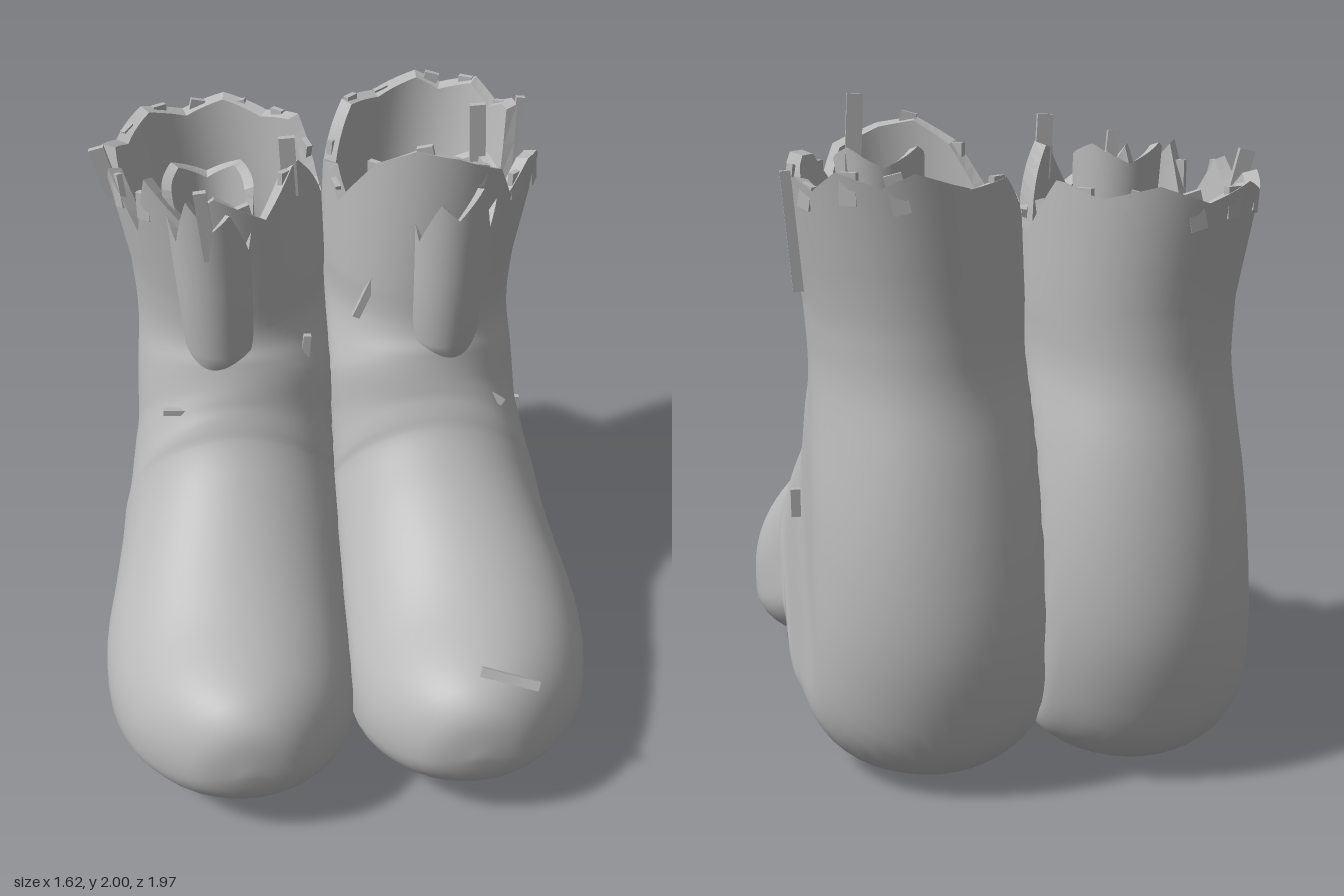
import * as THREE from 'three';

const N = 72, WALL = .042;
const grey = new THREE.MeshStandardMaterial({ color: 0xb8b8b8, side: THREE.DoubleSide });
grey.name = 'plain grey';

// Skin between closed rings of points; flat gives faceted edges
function loft(name, rows, flat = false, capped = false) {
  const n = rows[0].length, pos = [], idx = [];
  rows.forEach(r => r.forEach(p => pos.push(...p)));
  for (let i = 0; i < rows.length - 1; i++) for (let j = 0; j < n; j++) {
    const a = i * n + j, b = i * n + (j + 1) % n, c = a + n, d = b + n;
    idx.push(a, b, c, b, d, c);
  }
  if (capped) {
    const m = pos.length / 3;
    pos.push(...[0, 1, 2].map(q => rows[0].reduce((s, p) => s + p[q], 0) / n));
    for (let j = 0; j < n; j++) idx.push((j + 1) % n, j, m);
  }
  let g = new THREE.BufferGeometry();
  g.setAttribute('position', new THREE.Float32BufferAttribute(pos, 3));
  g.setIndex(idx);
  if (flat) g = g.toNonIndexed();
  g.computeVertexNormals();
  const mesh = new THREE.Mesh(g, grey);
  mesh.name = name;
  return mesh;
}

// Sections fanning from toe to ankle: top z, y, bottom z, y, centre x, half width
const SECTIONS = [
  [.985, .36, .985, .31, .36, .03], [.965, .48, .955, .2, .36, .15], [.9, .55, .86, .1, .365, .255],
  [.78, .59, .72, .04, .375, .35], [.6, .63, .52, .01, .39, .405], [.42, .715, .3, .015, .39, .42],
  [.28, .81, .1, .07, .37, .41], [.18, .9, -.1, .155, .35, .4], [.12, .97, -.2, .2, .345, .39],
  [.1, 1.01, -.24, .1, .34, .385], [.085, 1.04, -.3, .02, .335, .38], [.07, 1.07, -.5, 0, .325, .375],
  [.06, 1.1, -.75, .015, .315, .37], [.05, 1.13, -.89, .12, .305, .365], [.04, 1.16, -.955, .3, .3, .365],
  [.03, 1.19, -.98, .5, .3, .36], [.02, 1.22, -.955, .75, .305, .35], [0, 1.26, -.9, 1, .31, .335],
  [-.01, 1.32, -.84, 1.22, .32, .325], [-.01, 1.42, -.83, 1.42, .325, .33],
];
const TOPS = new THREE.CatmullRomCurve3(SECTIONS.map(q => new THREE.Vector3(q[4], q[1], q[0])));
const BOTTOMS = new THREE.CatmullRomCurve3(SECTIONS.map(q => new THREE.Vector3(q[5], q[3], q[2])));

// Torn rim heights by angle: 0 front, 90 outer side, 180 back, 270 inner side
const RIMS = {
  1: [[0, 1.9], [25, 1.84], [35, 1.74], [45, 1.83], [58, 1.83], [66, 1.72], [80, 1.47], [103, 1.51], [116, 1.82],
    [130, 1.77], [145, 1.83], [165, 1.79], [180, 1.83], [205, 1.78], [230, 1.8], [255, 1.66], [275, 1.72],
    [295, 1.65], [320, 1.85], [340, 1.92], [360, 1.9]],
  [-1]: [[0, 1.8], [20, 1.72], [35, 1.84], [50, 1.62], [65, 1.8], [80, 1.71], [95, 1.78], [115, 1.73], [140, 1.78],
    [165, 1.73], [190, 1.78], [215, 1.74], [240, 1.78], [262, 1.6], [280, 1.63], [300, 1.78], [312, 1.86],
    [335, 1.7], [360, 1.8]],
};
const FLUTE_RIM = [[0, 1.72], [30, 1.82], [55, 1.66], [90, 1.8], [130, 1.84], [180, 1.78], [230, 1.84],
  [275, 1.8], [305, 1.62], [335, 1.77], [360, 1.72]];

function heightAt(list, deg) {
  const k = Math.max(1, list.findIndex(p => p[0] >= deg));
  const [a, b] = [list[k - 1], list[k]];
  return a[1] + (b[1] - a[1]) * (deg - a[0]) / (b[0] - a[0]);
}
const ring = f => Array.from({ length: N }, (_, j) => f(j * 2 * Math.PI / N, j * 360 / N));
const { lerp, clamp } = THREE.MathUtils;
// Rounded edge: rises from 0 to 1 over radius r
const round = (d, r) => Math.sqrt(1 - (1 - Math.min(1, d / r)) ** 2);

// Point on a profile curve, moved inwards by the wall thickness
function profile(curve, u, inset) {
  const p = curve.getPoint(u), t = curve.getTangent(u), l = Math.hypot(t.y, t.z);
  p.z += inset * t.y / l;
  p.y -= inset * t.z / l;
  return p;
}

function shard(name, x, y, z, length, width, rx, rz) {
  const m = new THREE.Mesh(new THREE.BoxGeometry(width, length, .02), grey);
  m.name = name;
  m.position.set(x, y, z);
  m.rotation.set(rx, 0, rz);
  return m;
}

function boot(s) {
  const g = new THREE.Group();
  g.name = s > 0 ? 'leftBoot' : 'rightBoot';
  const rim = d => heightAt(RIMS[s], d);

  // Shaft flaring up to the torn rim
  const shaft = (a, y, inset) => {
    const t = (y - 1.42) / .43;
    const x = lerp(.325, .375, t) + (lerp(.33, .36, t) - inset) * Math.sin(a);
    const z = lerp(-.42, -.43, t) + (lerp(.41, .435, t) - inset) * Math.cos(a);
    return [s * Math.max(inset, x), y, z];
  };

  // Foot, heel, ankle and shaft: straight-sided sections with rounded ends
  const skin = inset => {
    const rows = [], steps = (SECTIONS.length - 1) * 3;
    for (let i = 0; i <= steps; i++) {
      const t = profile(TOPS, i / steps, -inset), b = profile(BOTTOMS, i / steps, inset);
      const length = Math.hypot(t.y - b.y, t.z - b.z), k = clamp((i - 30) / 15, 0, 1);
      const arch = .06 * Math.exp(-(((i - 27) / 5) ** 2));
      const topRadius = Math.min(lerp(.5, .415, k), lerp(.62, .5, k) * length);
      const bottomRadius = Math.min(lerp(.2, .42, k) - arch, lerp(.36, .5, k) * length);
      rows.push(ring(a => {
        const u = (1 - Math.cos(a)) / 2;
        const w = Math.max(.005, b.x - inset) * round(u * length, topRadius) * round((1 - u) * length, bottomRadius);
        const x = Math.max(inset, t.x + Math.sign(Math.sin(a)) * w);
        return [s * x, Math.max(inset, lerp(t.y, b.y, u)), lerp(t.z, b.z, u)];
      }));
    }
    for (const f of [.33, .67, 1]) rows.push(ring((a, d) => shaft(a, lerp(1.42, rim(d) - inset / 4, f), inset)));
    return rows;
  };
  const outer = skin(0), inner = skin(WALL);
  g.add(loft('bootSkin', outer, false, true), loft('lining', inner, false, true));
  g.add(loft('tornRim', [outer[outer.length - 1], inner[inner.length - 1]], true));

  // Hollow pleat on the front of the shaft
  const pleat = (a, y, inset) => {
    const t = clamp((y - 1.25) / .55, 0, 1);
    const r = lerp(.12, .142, t) - inset;
    return [s * (lerp(.365, .385, t) + r * Math.sin(a)), y, -.085 + (r + .015) * Math.cos(a)];
  };
  const top = ring((a, d) => pleat(a, heightAt(FLUTE_RIM, d), 0));
  const topIn = ring((a, d) => pleat(a, heightAt(FLUTE_RIM, d) - .01, .03));
  const foot = ring(a => [s * (.365 + .1 * Math.sin(a)), 1.19 - .02 * Math.sin(a), -.09 + .11 * Math.cos(a)]);
  g.add(loft('pleat', [foot, ring(a => pleat(a, 1.25, 0)), ring(a => pleat(a, 1.5, 0)), top]));
  g.add(loft('pleatRim', [top, topIn], true));
  g.add(loft('pleatLining', [topIn, ring(a => pleat(a, 1.4, .03))]));

  // Loose splinters around the rim
  for (let i = 0; i < 12; i++) {
    const d = [12, 40, 62, 125, 150, 172, 200, 225, 250, 285, 318, 345][i];
    const [x, y, z] = shaft(d * Math.PI / 180, rim(d), .015);
    const m = shard('rimSplinter', x, y - .035, z, .07 + .02 * (i % 3), .05, 0, .25 * (i % 3 - 1));
    m.rotation.order = 'YXZ';
    m.rotation.y = s * d * Math.PI / 180;
    g.add(m);
  }
  return g;
}

export function createModel() {
  const model = new THREE.Group();
  model.name = 'pairOfBoots';
  model.add(boot(1), boot(-1));

  // Slivers and tall strips clinging to the surface
  const slivers = [
    [.13, 1.41, -.1, .25, .025, 0, -.4], [.51, 1.03, -.01, .16, .025, -.3, .95], [.46, .55, .87, .19, .03, -.5, 1.25],
    [-.09, 1.17, -.07, .16, .025, 0, -.1], [-.48, 1.03, .02, .18, .02, 0, 1.5],
    [.69, 1.65, -.62, .34, .03, 0, -.08], [-.71, 1.74, -.34, .18, .05, 0, .25], [.47, 1.88, -.17, .24, .05, 0, .05],
    [-.13, 1.83, -.14, .2, .05, 0, .05], [-.4, 1.74, .06, .24, .04, .05, .1], [.69, .75, -.3, .09, .03, 0, 0],
  ];
  slivers.forEach(v => model.add(shard('sliver', ...v)));
  return model;
}
